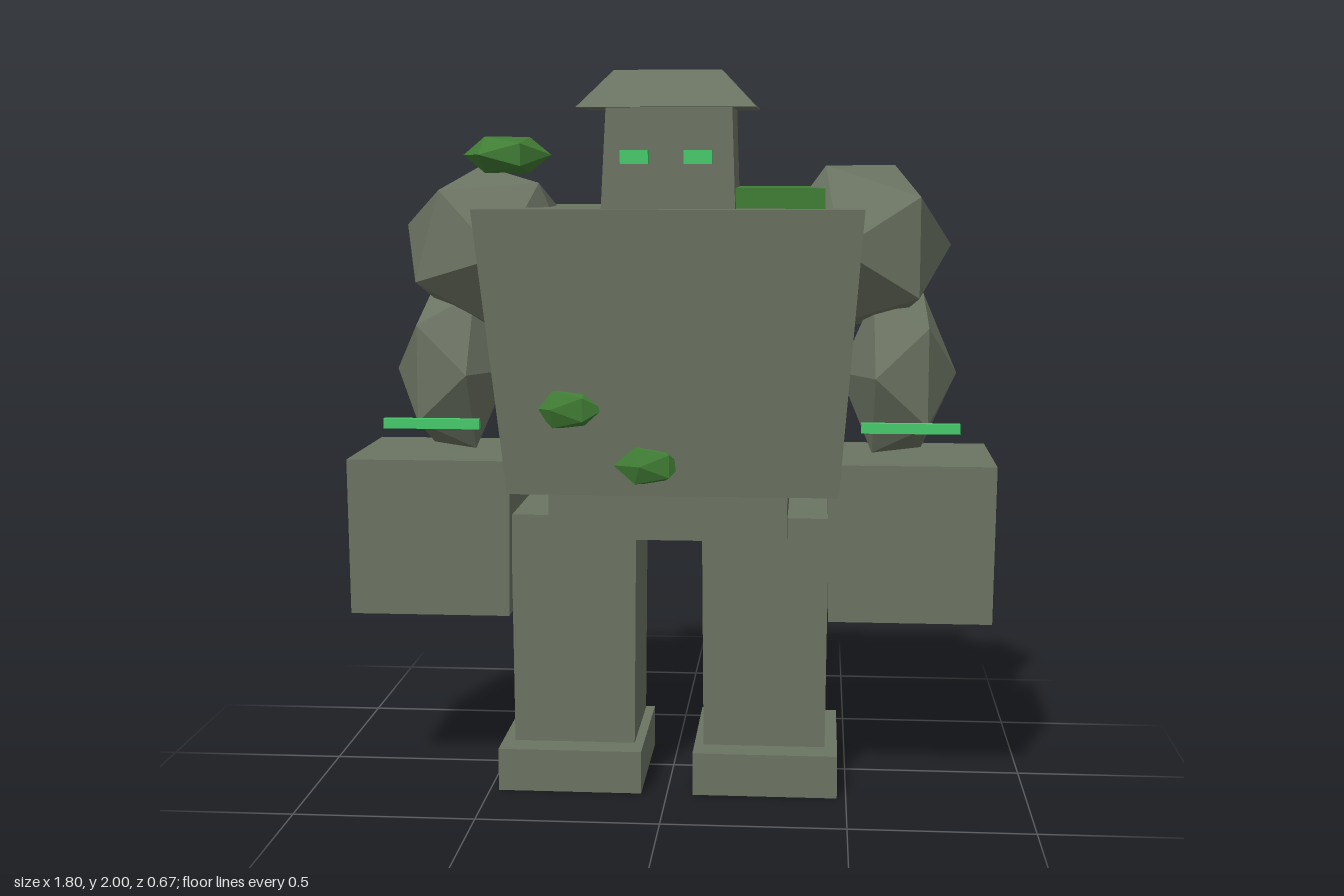
import * as THREE from 'three';

const stone = new THREE.MeshStandardMaterial({ name: 'stone', color: 0x6b7362, flatShading: true });
const moss = new THREE.MeshStandardMaterial({ name: 'moss', color: 0x417d35, flatShading: true });
const glow = new THREE.MeshStandardMaterial({ name: 'glowGreen', color: 0x46cc6c, flatShading: true });

export function createModel() {
  const model = new THREE.Group();
  model.name = 'stoneGolem';

  const add = (name, geometry, material) => {
    const mesh = new THREE.Mesh(geometry, material);
    mesh.name = name;
    model.add(mesh);
    return mesh;
  };

  // Block from y0 to y1; bottom and top are rectangles [x0, x1, z0, z1]
  const block = (name, material, y0, y1, bottom, top = bottom) => {
    const g = new THREE.BoxGeometry(1, 1, 1);
    const p = g.attributes.position;
    for (let i = 0; i < p.count; i++) {
      const up = p.getY(i) > 0;
      const r = up ? top : bottom;
      p.setXYZ(i, p.getX(i) < 0 ? r[0] : r[1], up ? y1 : y0, p.getZ(i) < 0 ? r[2] : r[3]);
    }
    g.computeVertexNormals();
    return add(name, g, material);
  };

  // Faceted lump, turned and then stretched
  const lump = (name, material, [x, y, z], [rx, ry, rz], turnY = 0, turnZ = 0) => {
    const g = new THREE.IcosahedronGeometry(1, 0);
    g.rotateY(turnY).rotateZ(turnZ).scale(rx, ry, rz);
    g.computeVertexNormals();
    const mesh = add(name, g, material);
    mesh.position.set(x, y, z);
    return mesh;
  };

  // Trunk: chest, waist
  block('chest', stone, 0.85, 1.63, [-0.44, 0.47, -0.305, 0.27], [-0.52, 0.53, -0.335, 0.33]);
  block('waist', stone, 0.72, 0.87, [-0.33, 0.33, -0.25, 0.235]);

  // Head with sloped cap
  block('head', stone, 1.6, 1.9, [-0.18, 0.185, -0.06, 0.25], [-0.165, 0.175, -0.06, 0.24]);
  block('cap', stone, 1.9, 2.0, [-0.24, 0.24, -0.105, 0.285], [-0.145, 0.145, -0.03, 0.21]);

  // Paired parts
  for (const [side, s] of [['left', 1], ['right', -1]]) {
    const rect = (a, b, z0, z1) => (s > 0 ? [a, b, z0, z1] : [-b, -a, z0, z1]);
    block(side + 'Foot', stone, 0, 0.12, rect(0.072, 0.475, -0.19, 0.26));
    block(side + 'Leg', stone, 0.12, 0.775, rect(0.098, 0.44, -0.18, 0.175), rect(0.092, 0.445, -0.185, 0.175));
    block(side + 'Fist', stone, 0.495, 0.933, rect(0.445, 0.895, -0.2, 0.225), rect(0.44, 0.9, -0.215, 0.22));
    block(side + 'Eye', glow, 1.75, 1.786, rect(0.048, 0.123, 0.235, 0.28));
    block(side + 'WristBand', glow, 1.017, 1.045, rect(0.53, 0.8, 0.167, 0.188));
    lump(side + 'FistMoss', moss, [s * 0.69, 0.9, -0.195], [0.06, 0.048, 0.04], s * 0.4);
    lump(side + 'Forearm', stone, [s * 0.635, 1.165, -0.005], [0.165, 0.26, 0.193], s * 0.6);
  }

  // Boulder shoulders
  lump('leftShoulder', stone, [0.525, 1.523, -0.02], [0.265, 0.262, 0.285], Math.PI / 4);
  lump('rightShoulder', stone, [-0.525, 1.515, -0.02], [0.265, 0.25, 0.285], -0.75, -0.25);

  // Moss slab and clumps
  block('mossSlab', moss, 1.6, 1.685, [-0.18, 0.425, -0.285, 0.2]);
  lump('shoulderMoss', moss, [-0.48, 1.775, -0.05], [0.128, 0.06, 0.138], 0.5);
  lump('upperChestMoss', moss, [-0.265, 1.09, 0.28], [0.097, 0.062, 0.04], 0.5);
  lump('lowerChestMoss', moss, [-0.05, 0.935, 0.268], [0.097, 0.06, 0.04], 0.8);

  return model;
}
